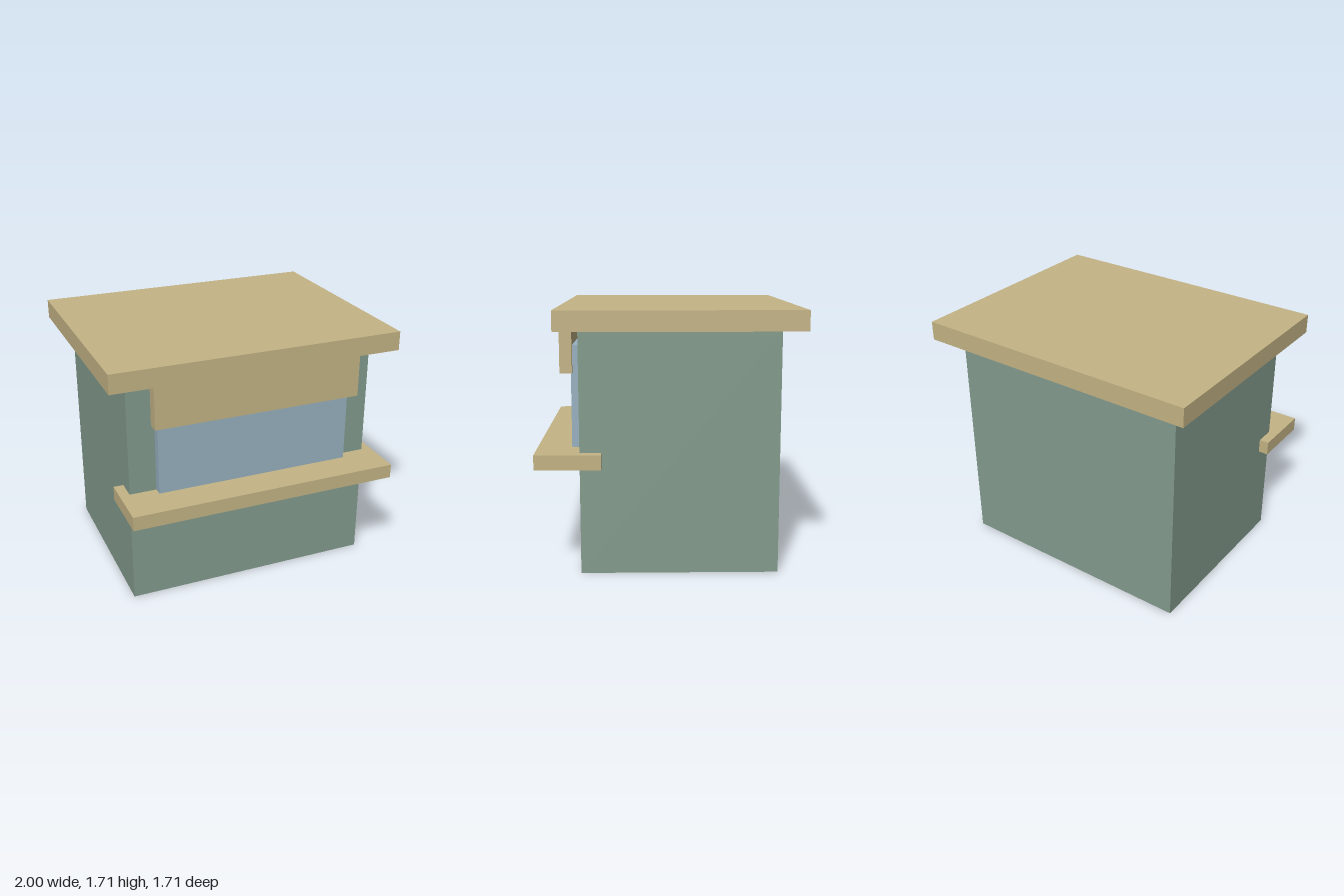
import * as THREE from 'three';

const material = (name, color) => {
  const m = new THREE.MeshStandardMaterial({ color });
  m.name = name;
  return m;
};

// Box given by its half width and its extents in y and z, centred on x = 0
function block(name, mat, halfWidth, [y0, y1], [z0, z1]) {
  const mesh = new THREE.Mesh(new THREE.BoxGeometry(halfWidth * 2, y1 - y0, z1 - z0), mat);
  mesh.position.set(0, (y0 + y1) / 2, (z0 + z1) / 2);
  mesh.name = name;
  return mesh;
}

export function createModel() {
  const green = material('sage green', 0x839b8d);
  const wood = material('tan wood', 0xc4b485);
  const glass = material('pale blue', 0x98b1c0);

  const kiosk = new THREE.Group();
  kiosk.name = 'kiosk';
  kiosk.add(
    // Main booth and overhanging flat roof
    block('body', green, 0.86, [0, 1.575], [-0.71, 0.57]),
    block('roof', wood, 1, [1.58, 1.71], [-0.855, 0.715]),
    // Serving window, with the counter below and the blank sign above
    block('window', glass, 0.677, [0.8, 1.47], [0.57, 0.63]),
    block('counter', wood, 0.927, [0.703, 0.8], [0.43, 0.855]),
    block('signBoard', wood, 0.715, [1.29, 1.58], [0.62, 0.7])
  );
  return kiosk;
}
